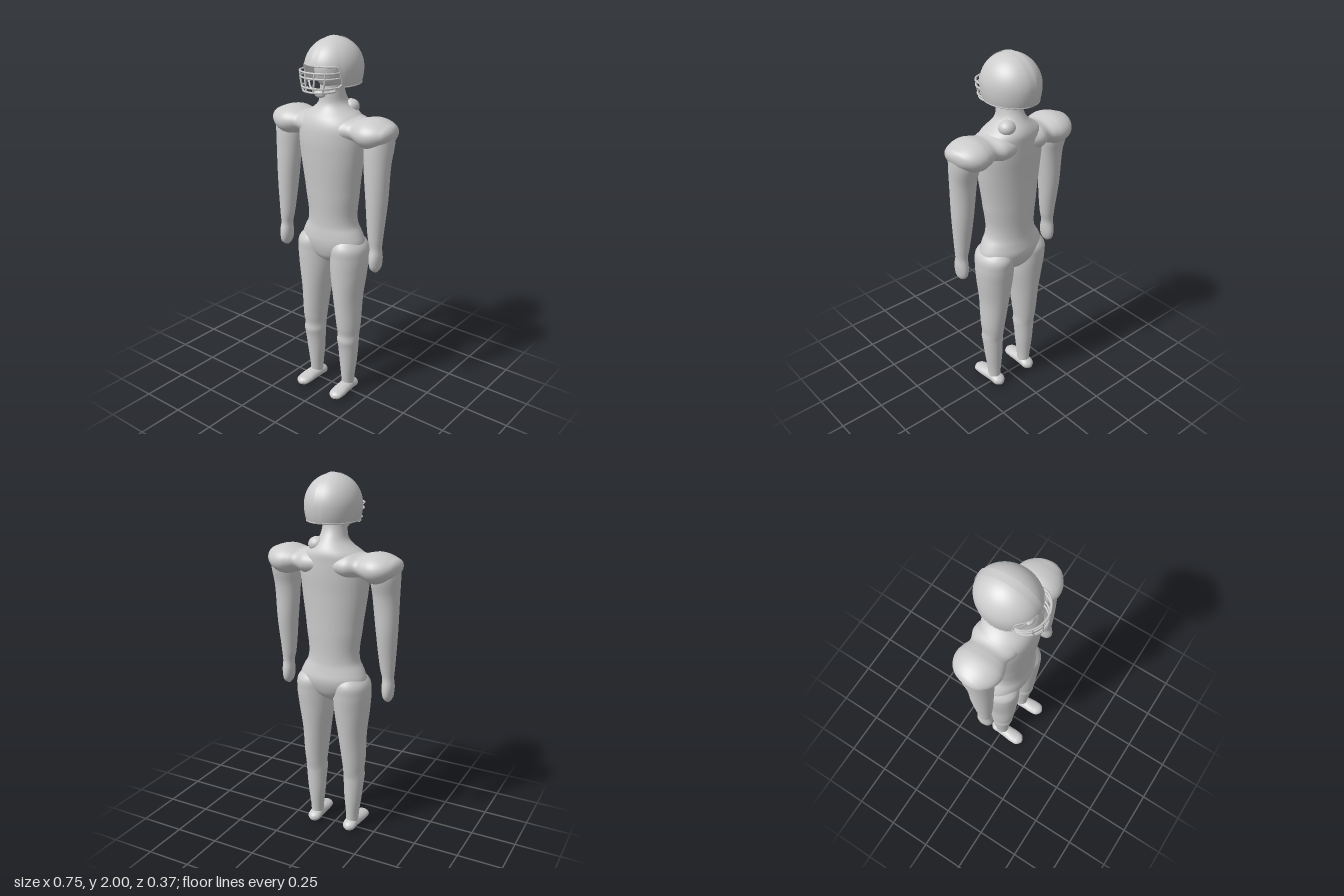
import * as THREE from 'three';

const lightGrey = new THREE.MeshStandardMaterial({ color: 0xcccccc, side: THREE.DoubleSide });
lightGrey.name = 'lightGrey';

// Smooth surface from a point function f(u, v); v wraps around when closed.
function surface(f, nu, nv, closed) {
  const pos = [], index = [], cols = closed ? nv : nv + 1;
  for (let i = 0; i <= nu; i++)
    for (let j = 0; j < cols; j++) pos.push(...f(i / nu, j / nv));
  for (let i = 0; i < nu; i++)
    for (let j = 0; j < nv; j++) {
      const k = (j + 1) % cols;
      const a = i * cols + j, b = i * cols + k, c = a + cols, d = b + cols;
      index.push(a, b, d, a, d, c);
    }
  const g = new THREE.BufferGeometry();
  g.setAttribute('position', new THREE.Float32BufferAttribute(pos, 3));
  g.setIndex(index);
  g.computeVertexNormals();
  return g;
}

// Elliptical loft along an axis (0 x, 1 y, 2 z).
// Section: [t, centreA, radiusA, centreB, radiusB], A and B being the next two axes.
function loft(axis, sections) {
  const spline = new THREE.CubicInterpolant(sections.map(s => s[0]), sections.flatMap(s => s.slice(1)), 4);
  const t0 = sections[0][0], t1 = sections[sections.length - 1][0];
  const rows = sections.length * 6;
  return surface((u, v) => {
    const row = Math.round(u * rows);
    const w = THREE.MathUtils.clamp((row - 1) / (rows - 2), 0, 1);
    const t = t0 + (t1 - t0) * w;
    const [ca, ra, cb, rb] = spline.evaluate(t);
    const cap = row === 0 || row === rows ? 0 : 1; // close both ends
    const p = [0, 0, 0], a = v * Math.PI * 2;
    p[axis] = t;
    p[(axis + 1) % 3] = ca + cap * ra * Math.cos(a);
    p[(axis + 2) % 3] = cb + cap * rb * Math.sin(a);
    return p;
  }, rows, 40, true);
}

// Helmet ellipsoid: azimuth a from the front, polar angle th from the crown.
const HY = 1.845, HZ = -0.018;
function helmetPoint(a, th, s = 1) {
  const c = Math.cos(th), r = Math.sin(th) * s;
  return [0.143 * r * Math.sin(a), HY + c * s * (c > 0 ? 0.152 : 0.2), HZ + 0.165 * r * Math.cos(a)];
}
// Lower edge: high over the face, low at the sides and back.
function helmetEdge(a) {
  const d = Math.abs(Math.atan2(Math.sin(a), Math.cos(a))) * 180 / Math.PI;
  const y = 1.87 - 0.102 * THREE.MathUtils.smoothstep(d, 48, 62) - HY;
  return Math.acos(y / (y > 0 ? 0.152 : 0.2));
}

function cagePoint(a, y, halfWidth) {
  return new THREE.Vector3(halfWidth * Math.sin(a), y, 0.085 + 0.095 * Math.cos(a));
}

export function createModel() {
  const model = new THREE.Group();
  const add = (name, geometry, parent = model) => {
    const m = new THREE.Mesh(geometry, lightGrey);
    m.name = name;
    parent.add(m);
    return m;
  };
  const tube = (name, pts, r, parent, closed = false) =>
    add(name, new THREE.TubeGeometry(new THREE.CatmullRomCurve3(pts, closed), closed ? 120 : 32, r, 8, closed), parent);

  // Pelvis, chest and neck: [y, cz, rz, cx, rx]
  add('torso', loft(1, [
    [0.79, -0.01, 0.04, 0, 0.03], [0.83, -0.012, 0.09, 0, 0.11], [0.88, -0.015, 0.114, 0, 0.18],
    [0.93, -0.016, 0.123, 0, 0.19], [0.975, -0.013, 0.118, 0, 0.172], [1.02, -0.011, 0.112, 0, 0.147],
    [1.2, -0.006, 0.118, 0, 0.157], [1.4, -0.001, 0.13, 0, 0.184], [1.5, -0.002, 0.136, 0, 0.192],
    [1.57, -0.006, 0.133, 0, 0.186], [1.61, -0.014, 0.124, 0, 0.155], [1.64, -0.02, 0.105, 0, 0.11],
    [1.67, -0.017, 0.086, 0, 0.078], [1.72, -0.005, 0.07, 0, 0.064], [1.82, 0, 0.064, 0, 0.06]]));

  // Shoulder yoke running through the chest: [x, cy, ry, cz, rz]
  const half = [
    [0.12, 1.55, 0.072, -0.02, 0.122], [0.175, 1.55, 0.06, -0.018, 0.105], [0.21, 1.548, 0.07, -0.018, 0.117],
    [0.25, 1.545, 0.08, -0.018, 0.127], [0.3, 1.545, 0.073, -0.018, 0.118], [0.34, 1.55, 0.053, -0.016, 0.09],
    [0.362, 1.555, 0.037, -0.01, 0.06], [0.374, 1.56, 0.015, -0.005, 0.025]];
  const mirrored = half.map(([x, ...rest]) => [-x, ...rest]).reverse();
  add('shoulders', loft(0, [...mirrored, [0, 1.55, 0.06, -0.015, 0.11], ...half]));

  // Small bulge at the base of the neck
  const bulge = add('neckBulge', new THREE.SphereGeometry(1, 24, 16));
  bulge.scale.set(0.045, 0.04, 0.045);
  bulge.position.set(0.068, 1.645, -0.07);

  for (const s of [1, -1]) {
    const side = s > 0 ? 'left' : 'right';
    const mirror = rows => rows.map(([y, cz, rz, cx, rx]) => [y, cz, rz, s * cx, rx]);

    // Arm and mitten hand
    add(side + 'Arm', loft(1, mirror([
      [0.815, 0.022, 0.012, 0.307, 0.01], [0.83, 0.022, 0.033, 0.307, 0.022], [0.87, 0.022, 0.046, 0.306, 0.031],
      [0.91, 0.022, 0.043, 0.306, 0.033], [0.945, 0.021, 0.036, 0.305, 0.031], [1.0, 0.02, 0.041, 0.301, 0.039],
      [1.2, 0.01, 0.06, 0.297, 0.057], [1.4, 0.003, 0.069, 0.291, 0.071], [1.5, -0.01, 0.08, 0.292, 0.077],
      [1.565, -0.012, 0.075, 0.3, 0.068]])));

    // Leg with knee
    add(side + 'Leg', loft(1, mirror([
      [0.03, -0.005, 0.038, 0.114, 0.034], [0.08, -0.003, 0.042, 0.114, 0.035], [0.2, -0.002, 0.052, 0.116, 0.049],
      [0.3, 0.002, 0.06, 0.118, 0.057], [0.34, 0.005, 0.065, 0.118, 0.06], [0.37, 0, 0.066, 0.118, 0.058],
      [0.42, 0, 0.074, 0.118, 0.063], [0.6, -0.004, 0.094, 0.11, 0.077], [0.75, -0.009, 0.108, 0.109, 0.097],
      [0.85, -0.013, 0.116, 0.111, 0.101], [0.91, -0.014, 0.115, 0.109, 0.094], [0.96, -0.013, 0.08, 0.095, 0.065]])));

    // Foot: [z, cx, rx, cy, ry]
    add(side + 'Foot', loft(2, [
      [-0.076, 0.113, 0.012, 0.024, 0.012], [-0.06, 0.113, 0.032, 0.026, 0.024], [-0.01, 0.114, 0.038, 0.033, 0.033],
      [0.04, 0.117, 0.04, 0.031, 0.031], [0.1, 0.119, 0.042, 0.028, 0.026], [0.135, 0.12, 0.033, 0.025, 0.021],
      [0.151, 0.12, 0.012, 0.024, 0.01]].map(([z, cx, ...rest]) => [z, s * cx, ...rest])));
  }

  // Head inside the helmet
  const head = add('head', new THREE.SphereGeometry(1, 32, 24));
  head.scale.set(0.085, 0.12, 0.1);
  head.position.set(0, 1.855, 0);

  // Helmet shell, rim and centre stripe
  const helmet = new THREE.Group();
  helmet.name = 'helmet';
  model.add(helmet);
  add('helmetShell', surface((u, v) => {
    const a = v * Math.PI * 2;
    return helmetPoint(a, Math.max(u, 0.001) * helmetEdge(a));
  }, 30, 96, true), helmet);
  const rim = [];
  for (let i = 0; i < 72; i++) {
    const a = i / 72 * Math.PI * 2;
    rim.push(new THREE.Vector3(...helmetPoint(a, helmetEdge(a), 0.99)));
  }
  tube('helmetRim', rim, 0.004, helmet, true);
  add('helmetStripe', surface((u, v) => {
    const p = helmetPoint(0, THREE.MathUtils.lerp(1.41, -1.95, u), 1.02);
    return [(v - 0.5) * 0.04, HY + (p[1] - HY), p[2]];
  }, 48, 2, false), helmet);

  // Face cage: curved bars joined by uprights
  const cage = new THREE.Group();
  cage.name = 'faceCage';
  model.add(cage);
  for (const [y, w] of [[1.842, 0.115], [1.815, 0.112], [1.768, 0.1], [1.748, 0.09]]) {
    const pts = [];
    for (let i = 0; i <= 12; i++) pts.push(cagePoint((i / 12 - 0.5) * Math.PI, y, w));
    tube('cageBar', pts, 0.005, cage);
  }
  for (const a of [-0.75, -0.25, 0.25, 0.75])
    tube('cageUpright', [cagePoint(a, 1.842, 0.115), cagePoint(a, 1.8, 0.11), cagePoint(a, 1.748, 0.09)], 0.005, cage);

  // Chin cup and straps
  const cup = add('chinCup', new THREE.SphereGeometry(1, 24, 16));
  cup.scale.set(0.032, 0.02, 0.021);
  cup.position.set(0, 1.728, 0.098);
  for (const s of [1, -1])
    tube('chinStrap', [new THREE.Vector3(s * 0.025, 1.73, 0.095), new THREE.Vector3(s * 0.075, 1.75, 0.08),
      new THREE.Vector3(s * 0.112, 1.785, 0.05)], 0.005, model);

  return model;
}
